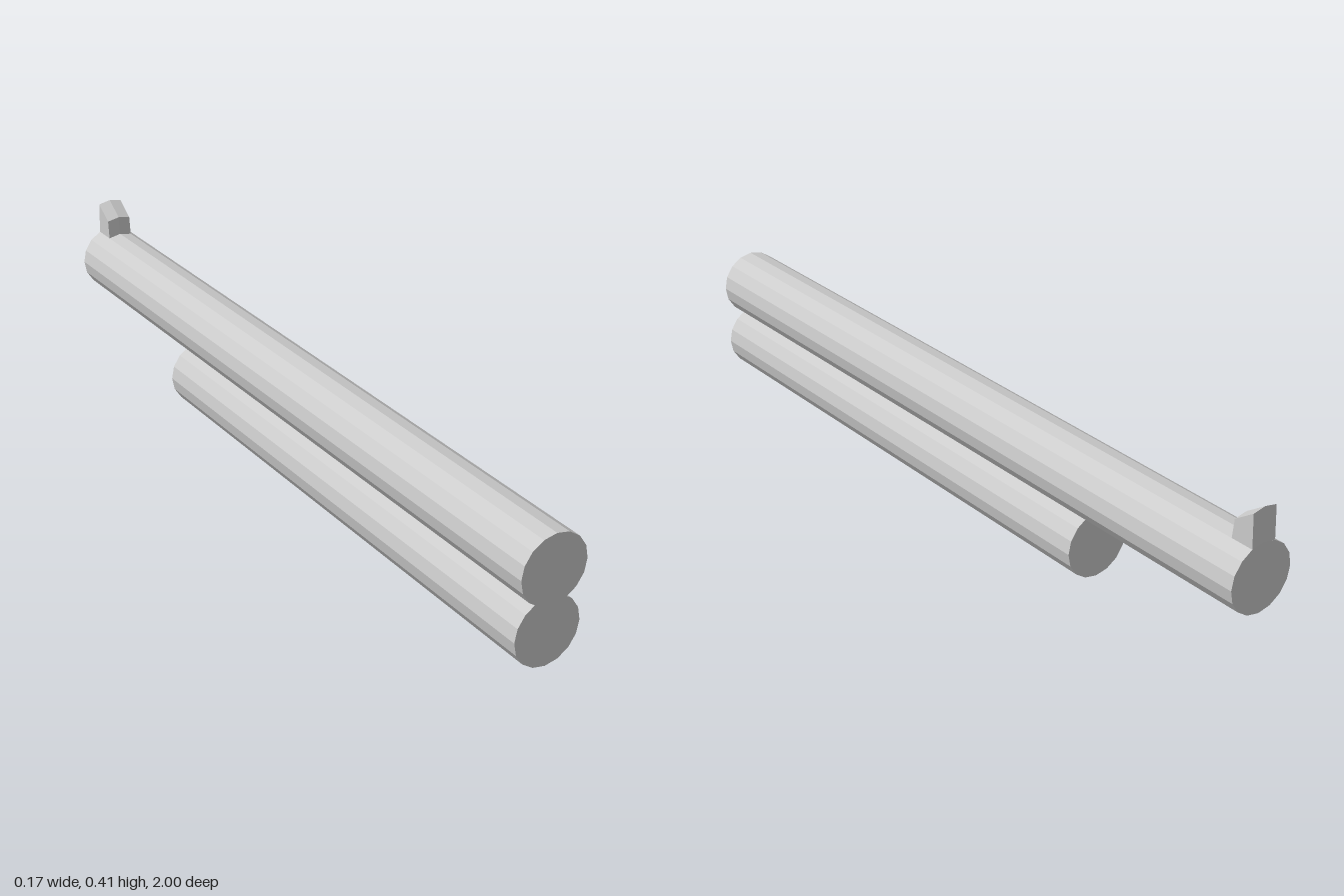
import * as THREE from 'three';

const material = new THREE.MeshStandardMaterial({ color: 0xcccccc, flatShading: true });
const RADIUS = 0.0868;

// Closed 16-sided tube lying along z
function tube(name, y, zFront, zBack) {
  const geometry = new THREE.CylinderGeometry(RADIUS, RADIUS, zFront - zBack, 16);
  geometry.rotateX(Math.PI / 2);
  const mesh = new THREE.Mesh(geometry, material);
  mesh.name = name;
  mesh.position.set(0, y, (zFront + zBack) / 2);
  return mesh;
}

// Sloped sight: side profile extruded across x, following the barrel's facets
function sight() {
  const halfWidth = RADIUS * Math.sin(Math.PI / 8);
  const drop = RADIUS * (1 - Math.cos(Math.PI / 8));
  const profile = new THREE.Shape([
    [0.94, 0.33], [1, 0.33], [0.996, 0.415], [0.945, 0.38],
  ].map(([u, v]) => new THREE.Vector2(u, v)));
  const geometry = new THREE.ExtrudeGeometry(profile, { depth: 2 * halfWidth, steps: 2, bevelEnabled: false });
  geometry.translate(0, 0, -halfWidth);
  geometry.rotateY(Math.PI / 2);
  const p = geometry.attributes.position;
  for (let i = 0; i < p.count; i++) {
    p.setY(i, p.getY(i) - drop * Math.abs(p.getX(i)) / halfWidth);
  }
  geometry.computeVertexNormals();
  const mesh = new THREE.Mesh(geometry, material);
  mesh.name = 'sight';
  return mesh;
}

export function createModel() {
  const model = new THREE.Group();
  model.name = 'doubleTube';
  model.add(
    tube('upperBarrel', 0.245, 1, -1),
    tube('lowerTube', 0.088, 0.99, -0.49),
    sight(),
  );
  return model;
}
